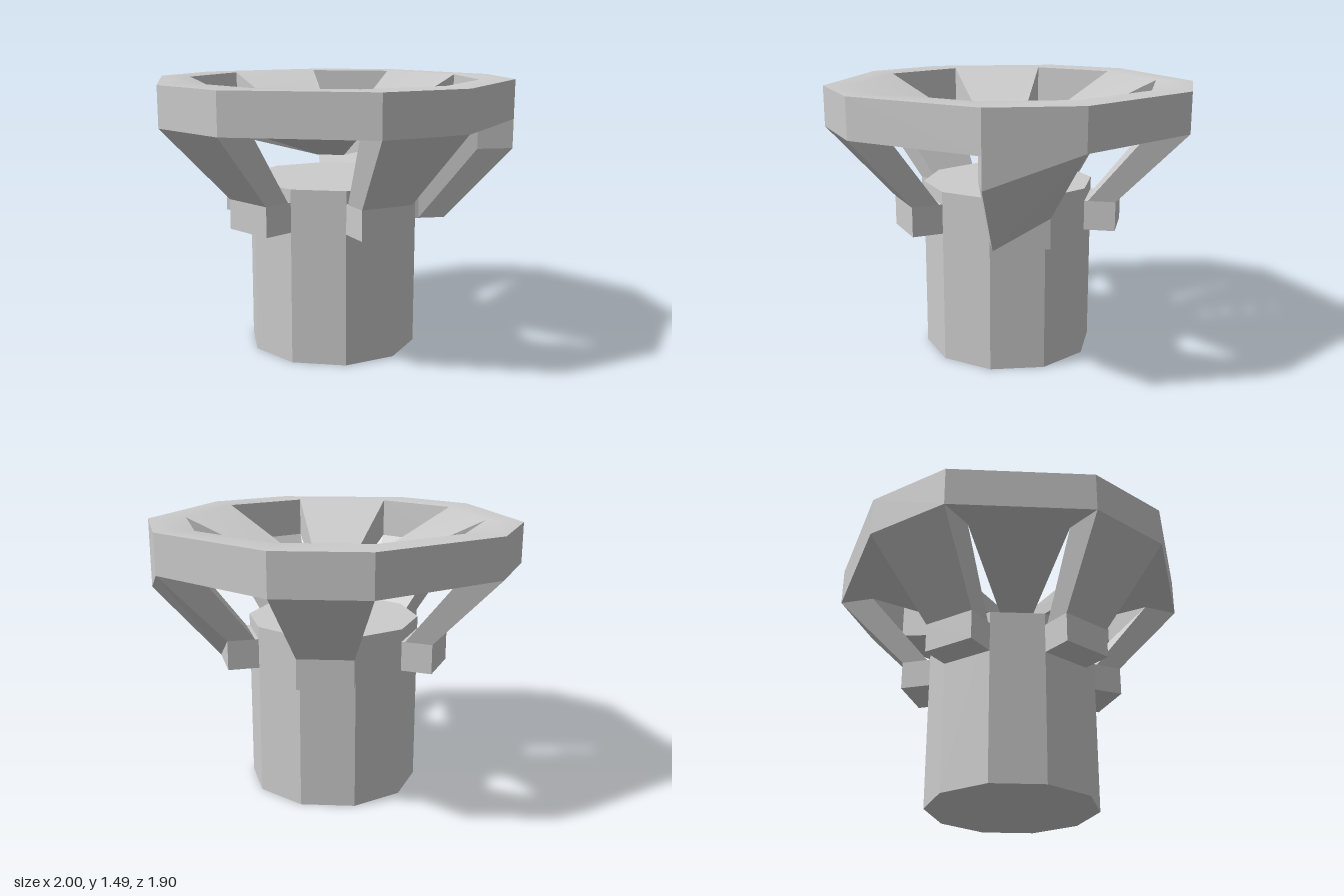
import * as THREE from 'three';
import { toCreasedNormals } from 'three/addons/utils/BufferGeometryUtils.js';
import { ConvexGeometry } from 'three/addons/geometries/ConvexGeometry.js';

const STEP = (Math.PI * 2) / 5;
const RIM_Z = -0.026, STEM_Z = -0.013;
const TOP = 1.485, UNDER = 1.27;
const RIM_HALF = 0.237;      // half width of the rim edge over each arm
const BOX_HALF = 0.145;      // half width of each bracket

// Point at distance r along direction a, shifted t sideways, around (0, zc)
const polar = (a, r, t, y, zc) => new THREE.Vector3(
  r * Math.sin(a) + t * Math.cos(a), y, r * Math.cos(a) - t * Math.sin(a) + zc);

const rimPt = (k, s, y) => polar(k * STEP, 0.972, s * RIM_HALF, y, RIM_Z);
const holePt = (k, s, y) => polar(k * STEP, 0.771, s * RIM_HALF, y, RIM_Z);
const boxPt = (k, s, r, y) => polar(k * STEP, r, s * BOX_HALF, y, STEM_Z);
const hubPt = (k, y) => polar(k * STEP, 0.126, 0, y, 0.004);

// Ten-sided rim with a dished centre cut by five wedge openings
function bowlGeometry() {
  const pos = [];
  const tri = (...p) => p.forEach((v) => pos.push(v.x, v.y, v.z));
  const quad = (a, b, c, d) => { tri(a, b, c); tri(a, c, d); };
  // wall between the upper and lower copies of an edge
  const wall = (f, g) => quad(f(1), f(0), g(0), g(1));

  for (let k = 0; k < 5; k++) {
    const rim = (i, s) => (u) => rimPt(i, s, u ? TOP : UNDER);
    const hole = (i, s) => (u) => holePt(i, s, u ? TOP : UNDER);
    const hub = (i) => (u) => hubPt(i, u ? 1.157 : 1.08);
    const n = k + 1;
    const faces = [
      [rim(k, 1), rim(n, -1), hole(n, -1), hole(k, 1)],   // rim over a sector
      [rim(k, -1), rim(k, 1), hole(k, 1), hole(k, -1)],   // rim over an arm
      [hole(k, 1), hole(n, -1), hub(n), hub(k)],          // dished sector
    ];
    for (const f of faces) {
      quad(...f.map((p) => p(1)));
      quad(...f.map((p) => p(0)).reverse());
    }
    // centre plate
    tri(hubPt(k, 1.157), hubPt(n, 1.157), new THREE.Vector3(0, 1.157, 0.004));
    tri(hubPt(n, 1.08), hubPt(k, 1.08), new THREE.Vector3(0, 1.08, 0.004));
    // outer band
    wall(rim(k, 1), rim(n, -1));
    wall(rim(k, -1), rim(k, 1));
    // opening walls
    wall(hole(k, 1), hole(k, -1));
    wall(hub(k), hole(k, 1));
    wall(hole(k, -1), hub(k));
  }
  const geo = new THREE.BufferGeometry();
  geo.setAttribute('position', new THREE.Float32BufferAttribute(pos, 3));
  return toCreasedNormals(geo, Math.PI / 6);
}

export function createModel() {
  const model = new THREE.Group();
  const flat = new THREE.MeshStandardMaterial({ color: 0xcccccc, flatShading: true });
  const smooth = new THREE.MeshStandardMaterial({ color: 0xcccccc });
  const add = (name, geo, mat = flat) => {
    const mesh = new THREE.Mesh(geo, mat);
    mesh.name = name;
    model.add(mesh);
    return mesh;
  };

  // Ten-sided post
  const stem = add('stem', new THREE.CylinderGeometry(0.469, 0.469, 0.945, 10, 1, false, Math.PI / 10));
  stem.position.set(0, 0.4725, STEM_Z);

  add('bowl', bowlGeometry(), smooth);

  // Five brackets on the post, each carrying a sloping arm up to the rim
  for (let k = 0; k < 5; k++) {
    const bracket = [], arm = [];
    for (const s of [-1, 1]) {
      for (const y of [0.717, 0.877]) bracket.push(boxPt(k, s, 0.42, y), boxPt(k, s, 0.613, y));
      arm.push(rimPt(k, s, UNDER), holePt(k, s, UNDER));
      arm.push(boxPt(k, s, 0.613, 0.877), boxPt(k, s, 0.465, 0.877));
    }
    // the left arm is deeper along its forward side
    if (k === 1) {
      arm.push(rimPt(k, -1, 1.11), holePt(k, -1, 1.11));
      arm.push(boxPt(k, -1, 0.613, 0.717), boxPt(k, -1, 0.465, 0.717));
    }
    add('bracket' + (k + 1), new ConvexGeometry(bracket));
    add('arm' + (k + 1), new ConvexGeometry(arm));
  }
  return model;
}
